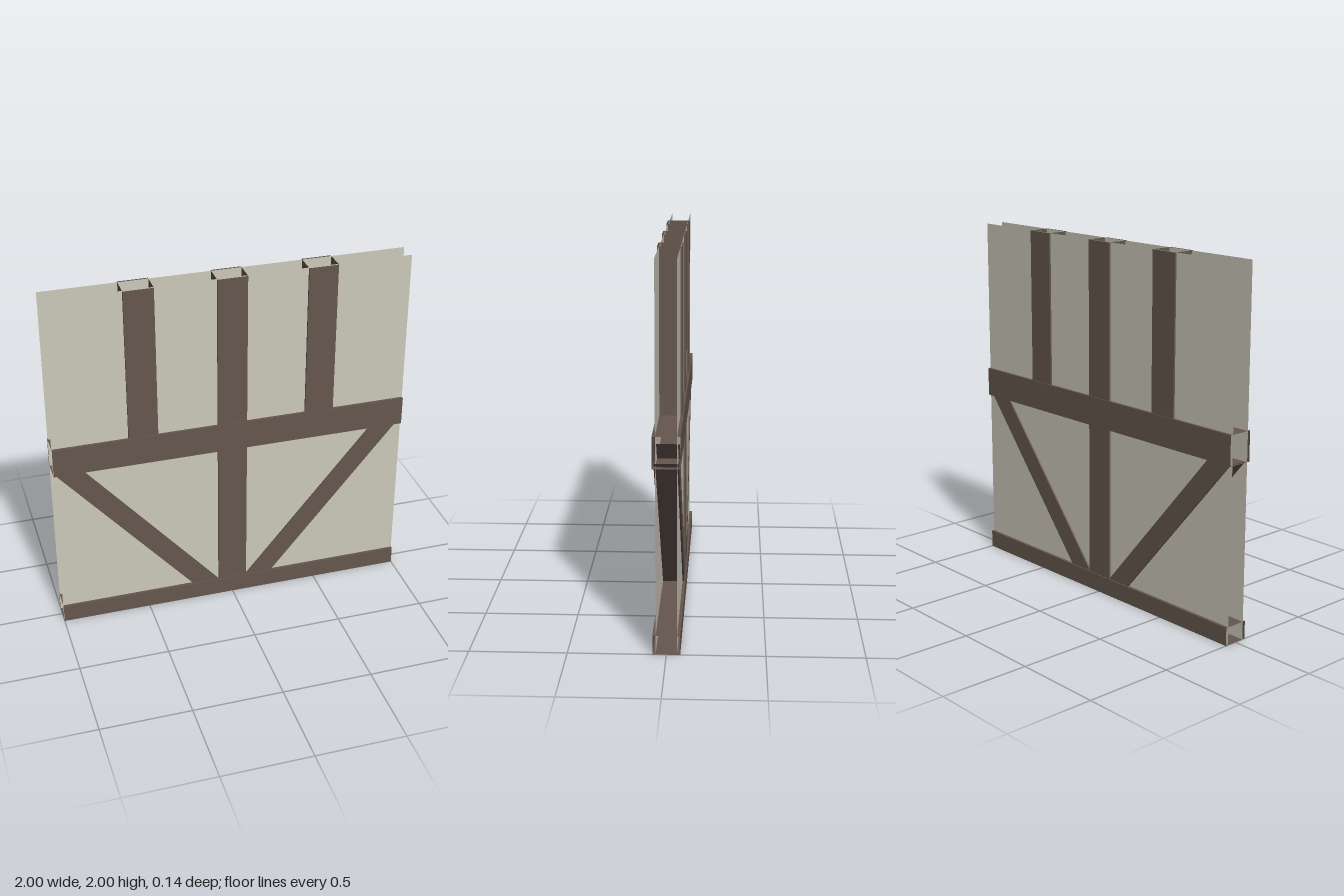
import * as THREE from 'three';

const timber = new THREE.MeshStandardMaterial({ color: 0x66574e, side: THREE.DoubleSide });
timber.name = 'brown timber';
const plaster = new THREE.MeshStandardMaterial({ color: 0xccc8ba, side: THREE.DoubleSide });
plaster.name = 'pale plaster';

export function createModel() {
  const group = new THREE.Group();
  group.name = 'timberFramedWall';

  // Hollow square timber with open ends, running between two points
  function beam(name, x1, y1, x2, y2, width, depth) {
    const dx = x2 - x1, dy = y2 - y1;
    const geometry = new THREE.BoxGeometry(width, Math.hypot(dx, dy), depth);
    const index = Array.from(geometry.index.array);
    index.splice(12, 12); // leave out the two end faces
    geometry.setIndex(index);
    geometry.clearGroups();
    const mesh = new THREE.Mesh(geometry, timber);
    mesh.name = name;
    mesh.position.set((x1 + x2) / 2, (y1 + y2) / 2, 0);
    mesh.rotation.z = Math.atan2(-dx, dy);
    group.add(mesh);
  }

  // Plaster sheets on both faces
  for (const side of [1, -1]) {
    const sheet = new THREE.Mesh(new THREE.PlaneGeometry(2, 2), plaster);
    sheet.name = side > 0 ? 'frontPlaster' : 'backPlaster';
    sheet.position.set(0, 1, side * 0.054);
    if (side < 0) sheet.rotation.y = Math.PI;
    group.add(sheet);
  }

  // Horizontal timbers
  beam('sillBeam', -1, 0.05, 1, 0.05, 0.1, 0.14);
  beam('middleRail', -1, 1.052, 1, 1.052, 0.164, 0.14);

  // Upright timbers
  beam('centrePost', 0, 0.005, 0, 2, 0.166, 0.128);
  beam('leftStud', 0.5, 1.05, 0.5, 2, 0.164, 0.128);
  beam('rightStud', -0.5, 1.05, -0.5, 2, 0.164, 0.128);

  // Diagonal braces
  beam('leftBrace', 0.112, 0.043, 0.935, 1.03, 0.117, 0.126);
  beam('rightBrace', -0.112, 0.043, -0.945, 1.01, 0.116, 0.126);

  return group;
}
